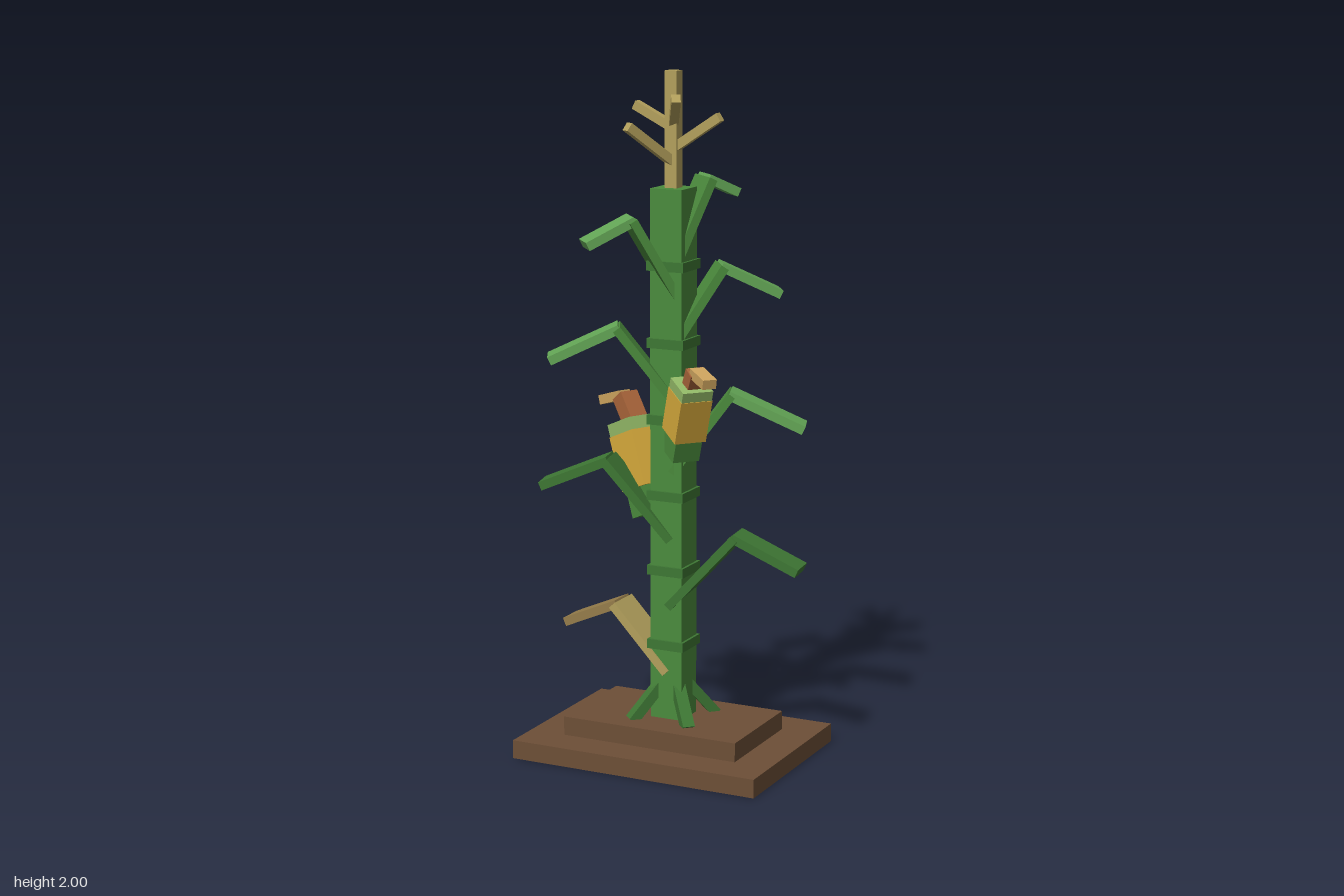
import * as THREE from 'three';

const mat = (name, color) => Object.assign(new THREE.MeshStandardMaterial({ color }), { name });
const M = {
  soil: mat('soil brown', 0x6d4f37),
  stalk: mat('stalk green', 0x4b8b3d),
  dark: mat('dark green', 0x3e7734),
  light: mat('light leaf green', 0x64a756),
  dead: mat('withered tan', 0x957c4a),
  tassel: mat('tassel straw', 0xb3a05c),
  husk: mat('pale husk green', 0x92b866),
  corn: mat('corn yellow', 0xd8ab3c),
  silk: mat('silk rust', 0xa8643a),
  silkTip: mat('silk tip tan', 0xcda45e),
};

function box(parent, name, material, w, h, d, y, x = 0) {
  const m = new THREE.Mesh(new THREE.BoxGeometry(w, h, d), material);
  m.name = name;
  m.position.set(x, y, 0);
  parent.add(m);
  return m;
}

// Bar in the local xy plane from a to b, each given as [radius, height]
function bar(parent, name, material, a, b, thick, width) {
  const dx = b[0] - a[0], dy = b[1] - a[1];
  const m = box(parent, name, material, Math.hypot(dx, dy), thick, width, (a[1] + b[1]) / 2, (a[0] + b[0]) / 2);
  m.rotation.z = Math.atan2(dy, dx);
  return m;
}

// Group turned around the stalk by an angle in degrees
function spoke(parent, name, deg) {
  const g = new THREE.Group();
  g.name = name;
  g.rotation.y = THREE.MathUtils.degToRad(deg);
  parent.add(g);
  return g;
}

// Cob with husk, cap and bent silk; base and lean in the spoke's plane
function ear(parent, name, deg, base, tiltDeg, s, silk, tip) {
  const g = spoke(parent, name, deg);
  bar(g, 'earStem', M.dark, [0.01, base[1] - 0.06], [base[0] + 0.02, base[1] + 0.04], 0.035, 0.035);
  const cob = new THREE.Group();
  cob.name = 'cob';
  cob.position.set(base[0], base[1], 0);
  cob.rotation.z = -THREE.MathUtils.degToRad(tiltDeg);
  g.add(cob);
  box(cob, 'lowerHusk', M.stalk, 0.1 * s, 0.1 * s, 0.1 * s, 0.05 * s);
  box(cob, 'kernels', M.corn, 0.118 * s, 0.165 * s, 0.118 * s, 0.165 * s);
  box(cob, 'huskCap', M.husk, 0.114 * s, 0.04 * s, 0.114 * s, 0.265 * s);
  bar(g, 'silk', M.silk, silk[0], silk[1], 0.05 * s, 0.06 * s);
  bar(g, 'silkTip', M.silkTip, silk[1], tip, 0.028, 0.042);
}

export function createModel() {
  const root = new THREE.Group();
  root.name = 'cornPlant';

  // Stepped soil base
  box(root, 'soilBase', M.soil, 0.775, 0.055, 0.555, 0.0275);
  box(root, 'soilMound', M.soil, 0.554, 0.056, 0.332, 0.083);

  // Stalk with joints and brace roots
  box(root, 'stalk', M.stalk, 0.1, 1.56, 0.1, 0.89);
  for (let i = 0; i < 6; i++) box(root, 'stalkJoint', M.dark, 0.116, 0.028, 0.116, 0.335 + i * 0.223);
  for (let i = 0; i < 4; i++) {
    bar(spoke(root, 'root', 45 + i * 90), 'braceRoot', M.dark, [0.035, 0.215], [0.13, 0.105], 0.03, 0.036);
  }

  // Leaves: [start height, elbow radius, elbow height, tip radius, tip height]
  const leaves = [
    [0.25, 0.175, 0.435, 0.34, 0.36],
    [0.45, 0.2, 0.67, 0.387, 0.583],
    [0.65, 0.195, 0.875, 0.39, 0.79],
    [0.85, 0.17, 1.08, 0.378, 0.982],
    [1.06, 0.163, 1.27, 0.356, 1.178],
    [1.23, 0.14, 1.445, 0.306, 1.362],
    [1.36, 0.13, 1.583, 0.26, 1.515],
    [1.48, 0.1, 1.695, 0.185, 1.652],
  ];
  leaves.forEach(([y0, r1, y1, r2, y2], i) => {
    const g = spoke(root, 'leaf', 180 * (i + 1) + 6.85 * i);
    const lower = i === 0 ? M.tassel : i < 3 ? M.dark : M.stalk;
    const upper = i === 0 ? M.dead : i < 3 ? M.dark : M.light;
    bar(g, 'leafRise', lower, [0, y0], [r1, y1], 0.025, 0.112);
    bar(g, 'leafDroop', upper, [r1 - 0.008, y1], [r2, y2], 0.026, 0.088);
  });

  // Two ears of corn
  ear(root, 'lowerEar', 154, [0.085, 0.705], 22, 1, [[0.18, 0.96], [0.235, 1.035]], [0.335, 1.005]);
  ear(root, 'upperEar', -40, [0.05, 0.905], 20, 0.82, [[0.125, 1.1], [0.16, 1.165]], [0.25, 1.145]);

  // Tassel: [angle, start height, tip radius, tip height]
  box(root, 'tasselSpike', M.tassel, 0.038, 0.34, 0.038, 1.83);
  const branches = [
    [0, 1.78, 0.145, 1.875],
    [180, 1.84, 0.12, 1.9],
    [120, 1.73, 0.165, 1.825],
    [-120, 1.74, 0.155, 1.85],
    [-60, 1.85, 0.105, 1.93],
  ];
  for (const [deg, y0, r, y1] of branches) {
    bar(spoke(root, 'tasselBranch', deg), 'branch', M.tassel, [0, y0], [r, y1], 0.026, 0.026);
  }
  return root;
}
